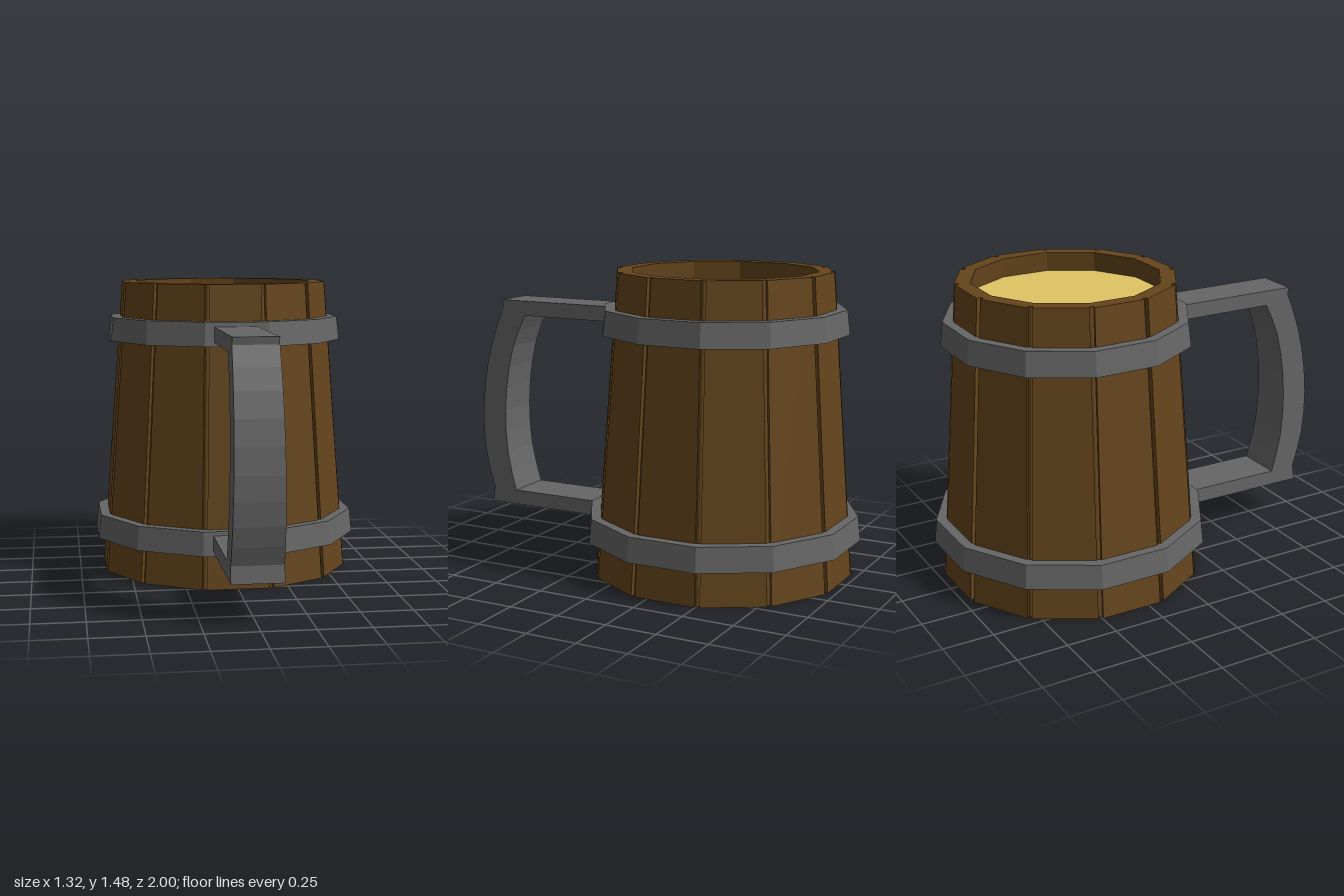
import * as THREE from 'three';

const SIDES = 12;
const HALF = Math.PI / SIDES;
const HEIGHT = 1.475;
const CENTRE_Z = -0.342;
const WALL = 0.073;
const GROOVE_DEPTH = 0.02;
const GROOVE_HALF = 0.012;

// Distance from the axis to the flat outer faces at height y
const apothem = (y) => 0.621 - 0.11 * (y / HEIGHT);

const paint = (color) => new THREE.MeshStandardMaterial({ color, flatShading: true });

function addMesh(parent, name, geometry, material) {
  const mesh = new THREE.Mesh(geometry, material);
  mesh.name = name;
  parent.add(mesh);
  return mesh;
}

// Closed twelve-sided ring; the profile lists [apothem, y] counter-clockwise
function ringGeometry(profile) {
  const points = [...profile, profile[0]].map(
    ([a, y]) => new THREE.Vector2(a / Math.cos(HALF), y)
  );
  return new THREE.LatheGeometry(points, SIDES, HALF);
}

// Twelve-sided disc facing up or down
function discGeometry(a, y, up) {
  const geometry = new THREE.CircleGeometry(a / Math.cos(HALF), SIDES, HALF);
  geometry.rotateX(up ? -Math.PI / 2 : Math.PI / 2);
  return geometry.translate(0, y, 0);
}

// Tapered slab forming the raised face of one stave
function staveGeometry() {
  const geometry = new THREE.BoxGeometry(2, HEIGHT, 1);
  geometry.translate(0, HEIGHT / 2, 0);
  const p = geometry.attributes.position;
  for (let i = 0; i < p.count; i++) {
    const y = p.getY(i);
    const outer = p.getZ(i) > 0;
    const a = apothem(y) - (outer ? 0 : GROOVE_DEPTH + 0.004);
    p.setXYZ(i, Math.sign(p.getX(i)) * (a * Math.tan(HALF) - GROOVE_HALF), y, a);
  }
  geometry.computeVertexNormals();
  return geometry;
}

// Bowed grip with two straight arms, slightly wider at the bottom
function handleGeometry() {
  const bow = (points) =>
    new THREE.CatmullRomCurve3(points.map(([z, y]) => new THREE.Vector3(z, y, 0)))
      .getPoints(9)
      .map((v) => new THREE.Vector2(v.x, v.y));
  const outer = bow([[0.866, 1.24], [0.932, 1.07], [0.982, 0.86], [1, 0.64], [0.982, 0.44], [0.936, 0.28]]);
  const inner = bow([[0.8, 0.275], [0.845, 0.45], [0.861, 0.65], [0.846, 0.86], [0.8, 1.06], [0.735, 1.2]]);
  const at = (z, y) => new THREE.Vector2(z, y);
  const shape = new THREE.Shape([
    at(0.2, 1.2), at(0.2, 1.275), at(0.87, 1.275), ...outer,
    at(0.948, 0.2), at(0.28, 0.2), at(0.28, 0.275), ...inner,
  ]);
  const geometry = new THREE.ExtrudeGeometry(shape, { depth: 1, bevelEnabled: false });
  geometry.translate(0, 0, -0.5);
  geometry.rotateY(-Math.PI / 2);
  const p = geometry.attributes.position;
  for (let i = 0; i < p.count; i++) {
    const width = 0.242 - 0.032 * (p.getY(i) - 0.2) / 1.075;
    p.setX(i, p.getX(i) * width - 0.005);
  }
  geometry.computeVertexNormals();
  return geometry;
}

export function createModel() {
  const model = new THREE.Group();
  model.name = 'tankard';
  const wood = paint(0x65451c);
  const metal = paint(0x666666);
  const ale = paint(0xe0c565);

  const body = new THREE.Group();
  body.name = 'body';
  body.position.z = CENTRE_Z;
  model.add(body);

  // Inner wall, seen at the bottom of the grooves
  addMesh(body, 'wall', ringGeometry([
    [apothem(0) - GROOVE_DEPTH, 0],
    [apothem(HEIGHT) - GROOVE_DEPTH, HEIGHT],
    [apothem(HEIGHT) - WALL, HEIGHT],
    [apothem(0) - WALL, 0],
  ]), wood);

  // Staves
  const stave = staveGeometry();
  for (let i = 0; i < SIDES; i++) {
    addMesh(body, 'stave', stave, wood).rotation.y = i * 2 * HALF;
  }

  // Recessed base and drink
  addMesh(body, 'base', discGeometry(apothem(0.08) - WALL + 0.003, 0.08, false), wood);
  addMesh(body, 'drink', discGeometry(apothem(1.38) - WALL + 0.003, 1.38, true), ale);

  // Metal bands
  for (const [name, y0, y1, a0, a1] of [
    ['lowerBand', 0.175, 0.295, 0.658, 0.646],
    ['upperBand', 1.18, 1.298, 0.584, 0.571],
  ]) {
    addMesh(body, name, ringGeometry([
      [a0, y0], [a1, y1], [apothem(y1) - 0.008, y1], [apothem(y0) - 0.008, y0],
    ]), metal);
  }

  addMesh(model, 'handle', handleGeometry(), metal);
  return model;
}
